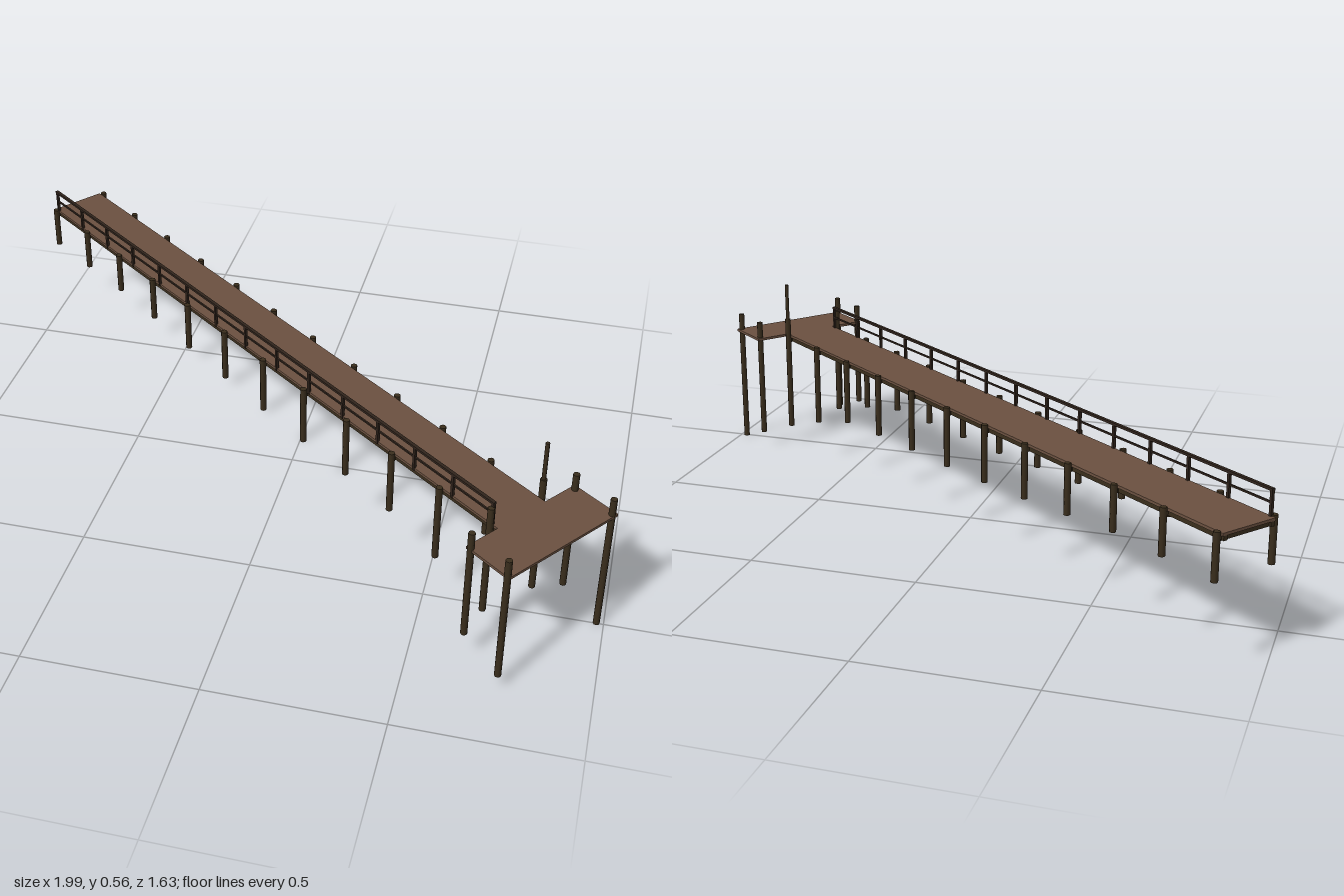
import * as THREE from 'three';

const mat = (name, color) => new THREE.MeshStandardMaterial({ name, color });

export function createModel() {
  const deckMat = mat('deck planks brown', 0x6b5140);
  const timberMat = mat('dark timber', 0x3a2e1d);
  const railMat = mat('railing dark brown', 0x30241c);

  const model = new THREE.Group();
  model.name = 'pier';

  // The pier is laid out along its own +x axis, then turned to run diagonally
  const pier = new THREE.Group();
  pier.name = 'pierBody';
  pier.position.set(-0.942, 0, -0.742);
  pier.rotation.y = -0.6535;
  model.add(pier);

  // Box given by its minimum and maximum along each axis
  const box = (name, material, x0, x1, y0, y1, z0, z1) => {
    const mesh = new THREE.Mesh(new THREE.BoxGeometry(x1 - x0, y1 - y0, z1 - z0), material);
    mesh.name = name;
    mesh.position.set((x0 + x1) / 2, (y0 + y1) / 2, (z0 + z1) / 2);
    pier.add(mesh);
  };

  // Round upright between two heights
  const post = (name, material, x, z, y0, y1, r) => {
    const mesh = new THREE.Mesh(new THREE.CylinderGeometry(r, r, y1 - y0, 8), material);
    mesh.name = name;
    mesh.position.set(x, (y0 + y1) / 2, z);
    pier.add(mesh);
  };

  const length = 2.134, half = 0.087;

  // Walkway and the cross platform at its end
  box('walkwayDeck', deckMat, 0, length, 0.376, 0.384, -half, half);
  box('platformDeck', deckMat, length, 2.288, 0.376, 0.384, -0.198, 0.198);

  // Stringers under both walkway edges
  for (const side of [-1, 1]) {
    const z = side * 0.078;
    box('stringer', timberMat, 0, length, 0.363, 0.376, z - 0.006, z + 0.006);
  }

  // Pile pairs that follow the sloping sea bed; the last pair rises above the deck
  const nearFeet = [0.256, 0.256, 0.256, 0.245, 0.23, 0.22, 0.207, 0.202, 0.197, 0.188, 0.147, 0.09];
  const farFeet = [0.256, 0.256, 0.256, 0.24, 0.225, 0.214, 0.205, 0.2, 0.193, 0.182, 0.13, 0.065];
  for (let i = 0; i < 12; i++) {
    const x = 0.012 + i * 0.191;
    const top = i === 11 ? 0.442 : 0.388;
    post('nearPile', timberMat, x, 0.094, nearFeet[i], top, 0.0095);
    post('farPile', timberMat, x, -0.096, farFeet[i], top, 0.0095);
    box('crossBeam', timberMat, x - 0.005, x + 0.005, 0.362, 0.375, -0.1, 0.1);
  }

  // Platform corner piles
  for (const [x, z, foot] of [
    [2.148, 0.195, 0.09], [2.28, 0.195, 0.04], [2.148, -0.184, 0.05], [2.28, -0.184, 0],
  ]) post('platformPile', timberMat, x, z, foot, 0.436, 0.0095);

  // Tall slim pole on the last far pile
  post('tallPole', timberMat, 2.113, -0.096, 0.44, 0.56, 0.006);

  // Railing along one side
  const railStart = 0.015, railEnd = 2.112, railZ = 0.085;
  for (let i = 0; i < 15; i++) {
    const x = railStart + (railEnd - railStart) * i / 14;
    box('railPost', railMat, x - 0.004, x + 0.004, 0.376, 0.452, railZ - 0.004, railZ + 0.004);
  }
  box('topRail', railMat, railStart - 0.004, railEnd + 0.004, 0.45, 0.457, railZ - 0.005, railZ + 0.005);
  box('middleRail', railMat, railStart, railEnd, 0.417, 0.422, railZ - 0.0025, railZ + 0.0025);

  return model;
}
